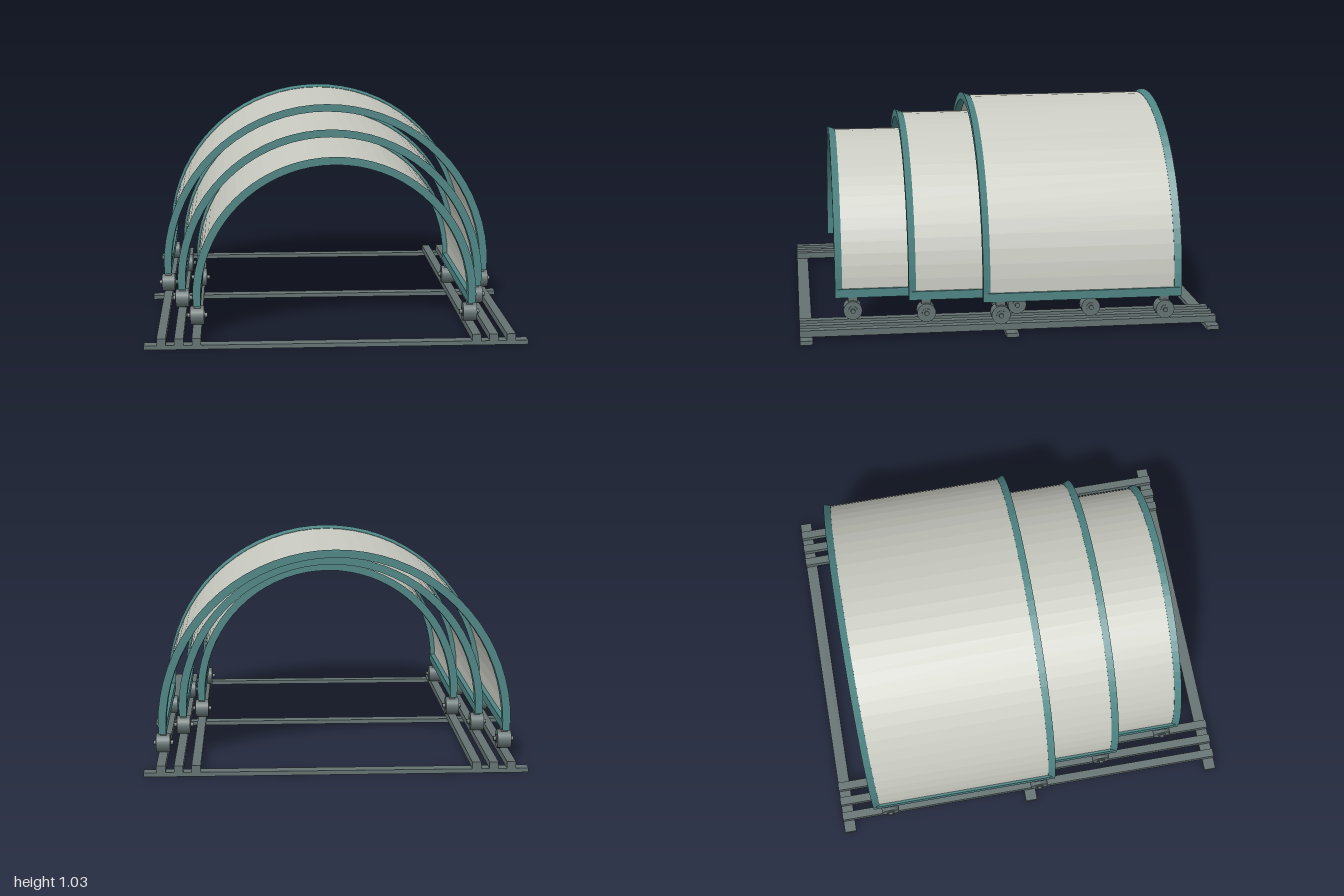
import * as THREE from 'three';

const steel = new THREE.MeshStandardMaterial({ color: 0x657272 });
const frame = new THREE.MeshStandardMaterial({ color: 0x4f8585, flatShading: true, side: THREE.DoubleSide });
const cover = new THREE.MeshStandardMaterial({ color: 0xc9cbc2, flatShading: true, side: THREE.DoubleSide });

const ARCH_Y = 0.194; // height of the arch centres
const LENGTH = 0.96;  // length of each telescoping section
const SEGMENTS = 36;

function add(parent, name, geometry, material, x = 0, y = 0, z = 0) {
  const mesh = new THREE.Mesh(geometry, material);
  mesh.name = name;
  mesh.position.set(x, y, z);
  parent.add(mesh);
  return mesh;
}

// Half revolution of a (radius, z) profile, arching over the z axis
function arch(profile) {
  const points = profile.map(([r, z]) => new THREE.Vector2(r, z));
  return new THREE.LatheGeometry(points, SEGMENTS, Math.PI / 2, Math.PI).rotateX(Math.PI / 2);
}

// Wheel on its axle, with the stem that carries the section
function createWheel() {
  const wheel = new THREE.Group();
  wheel.name = 'wheel';
  const disc = (r, w) => new THREE.CylinderGeometry(r, r, w, 24).rotateZ(Math.PI / 2);
  add(wheel, 'tyre', disc(0.045, 0.066), steel);
  add(wheel, 'hub', disc(0.022, 0.072), steel);
  add(wheel, 'axle', disc(0.011, 0.096), steel);
  add(wheel, 'stem', new THREE.BoxGeometry(0.03, 0.065, 0.045), steel, 0, 0.0325, 0);
  return wheel;
}

// One arched section: cover, two flared hoops, sill beams and four wheels
function createSection(name, radius, z) {
  const section = new THREE.Group();
  section.name = name;
  section.position.z = z;
  const half = LENGTH / 2;
  const skin = radius + 0.006;
  add(section, 'cover', arch([[skin, -half + 0.01], [skin, half - 0.01]]), cover, 0, ARCH_Y);

  const hoop = arch([
    [radius - 0.02, half - 0.035], [radius + 0.008, half - 0.035],
    [radius + 0.021, half], [radius - 0.017, half], [radius - 0.02, half - 0.035],
  ]);
  add(section, 'frontHoop', hoop, frame, 0, ARCH_Y);
  add(section, 'backHoop', hoop, frame, 0, ARCH_Y).rotation.y = Math.PI;

  for (const side of [-1, 1]) {
    add(section, 'sillBeam', new THREE.BoxGeometry(0.036, 0.042, LENGTH), frame, side * radius, 0.178);
    for (const end of [-1, 1]) {
      const wheel = createWheel();
      wheel.position.set(side * radius, 0.097, end * 0.397);
      section.add(wheel);
    }
  }
  return section;
}

export function createModel() {
  const model = new THREE.Group();
  model.name = 'telescopicEnclosure';
  const radii = [0.815, 0.733, 0.652];

  // Track: cross ties with three rails on each side
  const track = new THREE.Group();
  track.name = 'track';
  model.add(track);
  for (const z of [-0.97, 0, 0.97]) {
    add(track, 'crossTie', new THREE.BoxGeometry(1.79, 0.02, 0.06), steel, 0, 0.01, z);
  }
  for (const r of radii) {
    for (const side of [-1, 1]) {
      add(track, 'rail', new THREE.BoxGeometry(0.042, 0.032, 2), steel, side * r, 0.036, 0);
    }
  }

  // Sections slide out from the largest at the back to the smallest in front
  ['largeSection', 'middleSection', 'smallSection'].forEach((name, i) => {
    model.add(createSection(name, radii[i], (i - 1) * 0.347));
  });
  return model;
}
